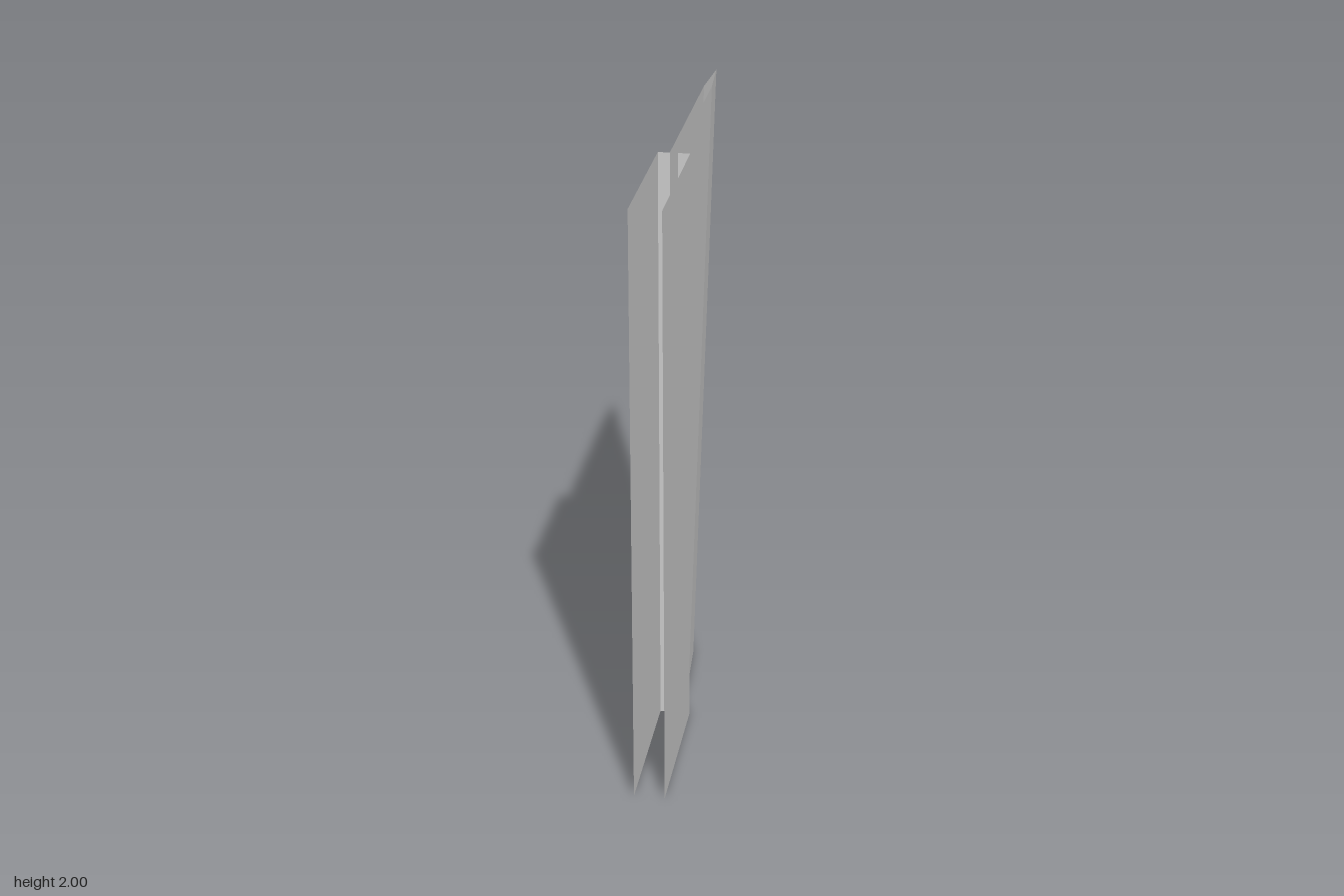
import * as THREE from 'three';

const HEIGHT = 2;
const material = new THREE.MeshStandardMaterial({
  color: 0xcccccc, flatShading: true, side: THREE.DoubleSide,
});

// Upright sheet between two edges, each given as [x, z at bottom, z at top]
function sheet(name, side, a, b) {
  const corners = [
    [a[0] * side, 0, a[1]], [b[0] * side, 0, b[1]],
    [b[0] * side, HEIGHT, b[2]], [a[0] * side, HEIGHT, a[2]],
  ];
  // Keep the outer face in front on both sides
  const order = side > 0 ? [0, 1, 2, 0, 2, 3] : [0, 2, 1, 0, 3, 2];
  const geometry = new THREE.BufferGeometry();
  geometry.setAttribute('position',
    new THREE.Float32BufferAttribute(order.flatMap((i) => corners[i]), 3));
  geometry.computeVertexNormals();
  const mesh = new THREE.Mesh(geometry, material);
  mesh.name = name;
  return mesh;
}

export function createModel() {
  const model = new THREE.Group();
  model.name = 'fin';

  // Section edges from the front of the flange to the slanted trailing edge
  const edges = [
    [0.05, 0.705, 0.705],
    [0.05, 0.19, 0.19],
    [0.013, 0.19, 0.19],
    [0.013, -0.03, -0.51],
    [0, -0.217, -0.703],
  ];
  const names = ['mountingFlange', 'flangeStep', 'finPanel', 'trailingBevel'];

  // Two mirrored open shells that meet at the trailing edge
  for (const side of [1, -1]) {
    const half = new THREE.Group();
    half.name = side > 0 ? 'leftShell' : 'rightShell';
    names.forEach((name, i) => half.add(sheet(name, side, edges[i], edges[i + 1])));
    model.add(half);
  }
  return model;
}
